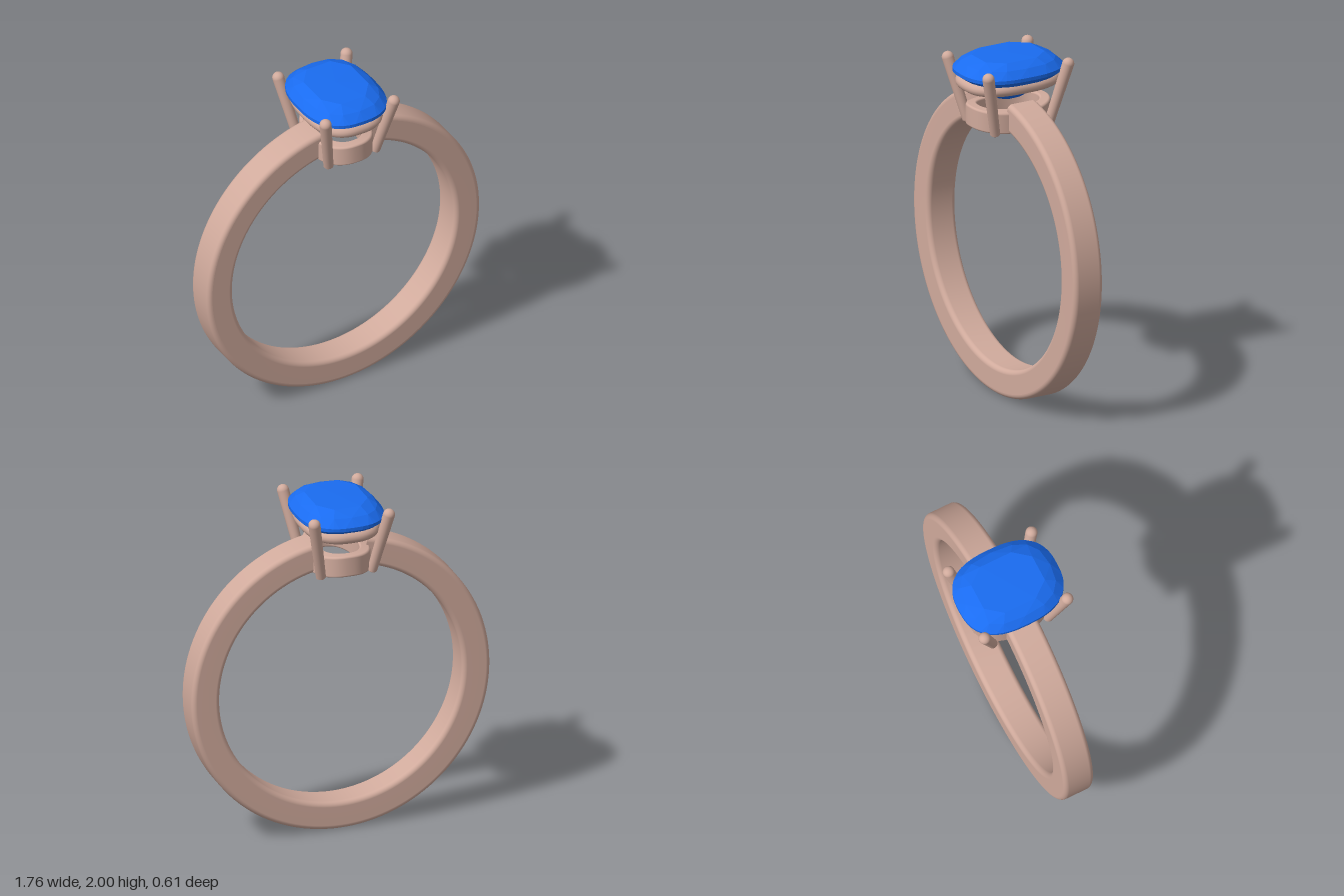
import * as THREE from 'three';
import { mergeVertices } from 'three/addons/utils/BufferGeometryUtils.js';

const CENTRE_Y = 0.885, R_IN = 0.715, R_OUT = 0.88;

// Point on a cushion-shaped oval
function cushion(t, ax, az, power) {
  const f = (v) => Math.sign(v) * Math.abs(v) ** (2 / power);
  return [ax * f(Math.cos(t)), az * f(Math.sin(t))];
}

// Rounded rectangle outline, counterclockwise
function roundedRect(x0, x1, y0, y1, r) {
  const s = new THREE.Shape();
  s.absarc(x1 - r, y0 + r, r, -Math.PI / 2, 0);
  s.absarc(x1 - r, y1 - r, r, 0, Math.PI / 2);
  s.absarc(x0 + r, y1 - r, r, Math.PI / 2, Math.PI);
  s.absarc(x0 + r, y0 + r, r, Math.PI, Math.PI * 1.5);
  s.closePath();
  return s;
}

// Section (offset, height) swept round a cushion oval; drop(x) shifts height
function ovalHoop(section, ax, az, power, drop = () => 0) {
  const g = new THREE.LatheGeometry(section.map((p) => new THREE.Vector2(p.x + 1, p.y)), 72);
  const pos = g.attributes.position;
  for (let i = 0; i < pos.count; i++) {
    const x = pos.getX(i), z = pos.getZ(i), off = Math.hypot(x, z) - 1;
    const [px, pz] = cushion(Math.atan2(z, x), ax + off, az + off, power);
    pos.setXYZ(i, px, pos.getY(i) + drop(px), pz);
  }
  g.deleteAttribute('normal');
  g.deleteAttribute('uv');
  const merged = mergeVertices(g, 1e-5);
  merged.computeVertexNormals();
  return merged;
}

// Faceted stone: rings from top to bottom, neighbours stitched by angle
function stoneGeometry() {
  const levels = [ // [points, angle offset, scale, y]
    [1, 0, 0, 2.0], [8, 0.5, 0.66, 1.997], [16, 0, 0.86, 1.967], [48, 0, 1, 1.925],
    [48, 0, 1, 1.905], [16, 0.5, 0.6, 1.815], [8, 0.5, 0.27, 1.75], [1, 0, 0, 1.722],
  ];
  const rings = levels.map(([n, off, s, y]) => {
    const angle = (i) => ((i + off) / n) * Math.PI * 2;
    const point = (i) => {
      const [x, z] = cushion(angle(i), 0.245 * s, 0.306 * s, 2.6);
      return [x, y, z];
    };
    return { n, angle, point };
  });
  const out = [];
  for (let k = 0; k < rings.length - 1; k++) {
    const A = rings[k], B = rings[k + 1];
    let a = 0, b = 0;
    while (a < A.n || b < B.n) {
      const stepA = b >= B.n || (a < A.n && A.angle(a + 1) <= B.angle(b + 1));
      const next = stepA ? A.point(a + 1) : B.point(b + 1);
      if ((stepA ? A.n : B.n) > 1) out.push(...A.point(a), ...next, ...B.point(b));
      if (stepA) a++; else b++;
    }
  }
  const g = new THREE.BufferGeometry();
  g.setAttribute('position', new THREE.Float32BufferAttribute(out, 3));
  g.computeVertexNormals();
  return g;
}

export function createModel() {
  const model = new THREE.Group();
  const metal = new THREE.MeshStandardMaterial({ color: 0xd0aa9c, side: THREE.DoubleSide });
  const blue = new THREE.MeshStandardMaterial({ color: 0x1a6cf0, flatShading: true, side: THREE.DoubleSide });
  const add = (name, geometry, material = metal, parent = model) => {
    const mesh = new THREE.Mesh(geometry, material);
    mesh.name = name;
    parent.add(mesh);
    return mesh;
  };

  // Band, open at the top where the setting sits
  const band = new THREE.Group();
  band.name = 'band';
  band.position.y = CENTRE_Y;
  model.add(band);
  const gap = 0.175;
  const profile = roundedRect(R_IN, R_OUT, -0.093, 0.093, 0.028);
  const hoop = new THREE.LatheGeometry(profile.getPoints(4), 128, gap, Math.PI * 2 - gap * 2);
  add('bandHoop', hoop.rotateX(-Math.PI / 2), metal, band);
  for (const side of [1, -1]) {
    const cap = new THREE.ShapeGeometry(profile, 4).rotateX(Math.PI / 2);
    add('bandEnd', cap.rotateZ(Math.PI / 2 - side * gap), metal, band);
  }

  // Lower hoop of the setting, its underside following the finger hole
  const lower = roundedRect(-0.03, 0.03, 0, 0.125, 0.012).getPoints(3);
  add('lowerHoop', ovalHoop(lower, 0.145, 0.215, 2.3,
    (x) => CENTRE_Y + Math.sqrt(R_IN ** 2 - x * x)));

  // Upper rail under the stone
  const wire = new THREE.Path().absarc(0, 0, 0.035, 0, Math.PI * 2).getPoints(8);
  add('upperRail', ovalHoop(wire, 0.185, 0.26, 2.6, () => 1.85));

  // Four leaning prongs with domed tips
  const up = new THREE.Vector3(0, 1, 0);
  for (const sx of [1, -1]) {
    for (const sz of [1, -1]) {
      const foot = new THREE.Vector3(sx * 0.15, 1.588, sz * 0.172);
      const tip = new THREE.Vector3(sx * 0.22, 1.952, sz * 0.258);
      const length = foot.distanceTo(tip);
      const outline = [new THREE.Vector2(0, 0), new THREE.Vector2(0.022, 0), new THREE.Vector2(0.028, 0.006)];
      for (let i = 0; i <= 8; i++) {
        const t = (i / 8) * Math.PI / 2;
        outline.push(new THREE.Vector2(0.034 * Math.cos(t), length + 0.034 * Math.sin(t)));
      }
      const prong = add('prong', new THREE.LatheGeometry(outline, 24));
      prong.position.copy(foot);
      prong.quaternion.setFromUnitVectors(up, tip.sub(foot).normalize());
    }
  }

  // Cushion-cut stone
  add('stone', stoneGeometry(), blue);
  return model;
}
